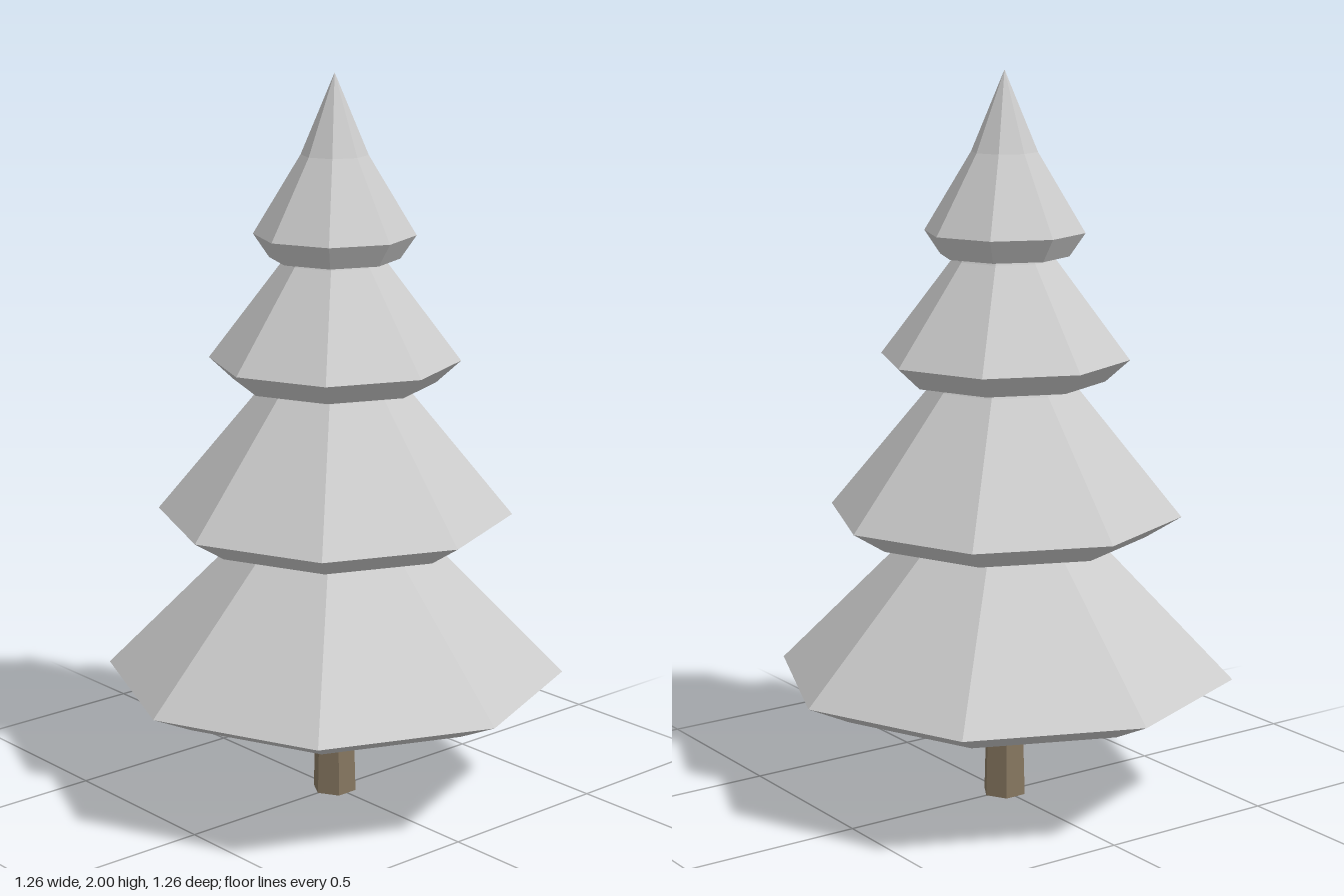
import * as THREE from 'three';

export function createModel() {
  const tree = new THREE.Group();
  tree.name = 'pineTree';
  const needles = new THREE.MeshStandardMaterial({ color: 0xcccccc, flatShading: true });
  const bark = new THREE.MeshStandardMaterial({ color: 0x85765f, flatShading: true });

  // Six-sided trunk, slightly tapered, running up into the lowest tier
  const trunk = new THREE.Mesh(new THREE.CylinderGeometry(0.052, 0.062, 0.34, 6), bark);
  trunk.name = 'trunk';
  trunk.position.y = 0.17;
  tree.add(trunk);

  // Eight-sided foliage tiers: flat underside, flared rim, slope, steeper tip
  const tiers = [
    // [underside radius, y], [rim radius, y], [shoulder radius, y], tip y
    [[0.505, 0.3], [0.63, 0.36], [0.26, 0.735], 1.1],
    [[0.388, 0.75], [0.484, 0.81], [0.2, 1.155], 1.48],
    [[0.274, 1.175], [0.34, 1.235], [0.14, 1.5], 1.76],
    [[0.175, 1.51], [0.218, 1.573], [0.09, 1.785], 2],
  ];
  tiers.forEach(([under, rim, shoulder, tip], i) => {
    const profile = [[0, under[1]], under, rim, shoulder, [0, tip]];
    const points = profile.map(([r, y]) => new THREE.Vector2(r, y));
    const tier = new THREE.Mesh(new THREE.LatheGeometry(points, 8), needles);
    tier.name = `foliageTier${i + 1}`;
    tree.add(tier);
  });

  return tree;
}
